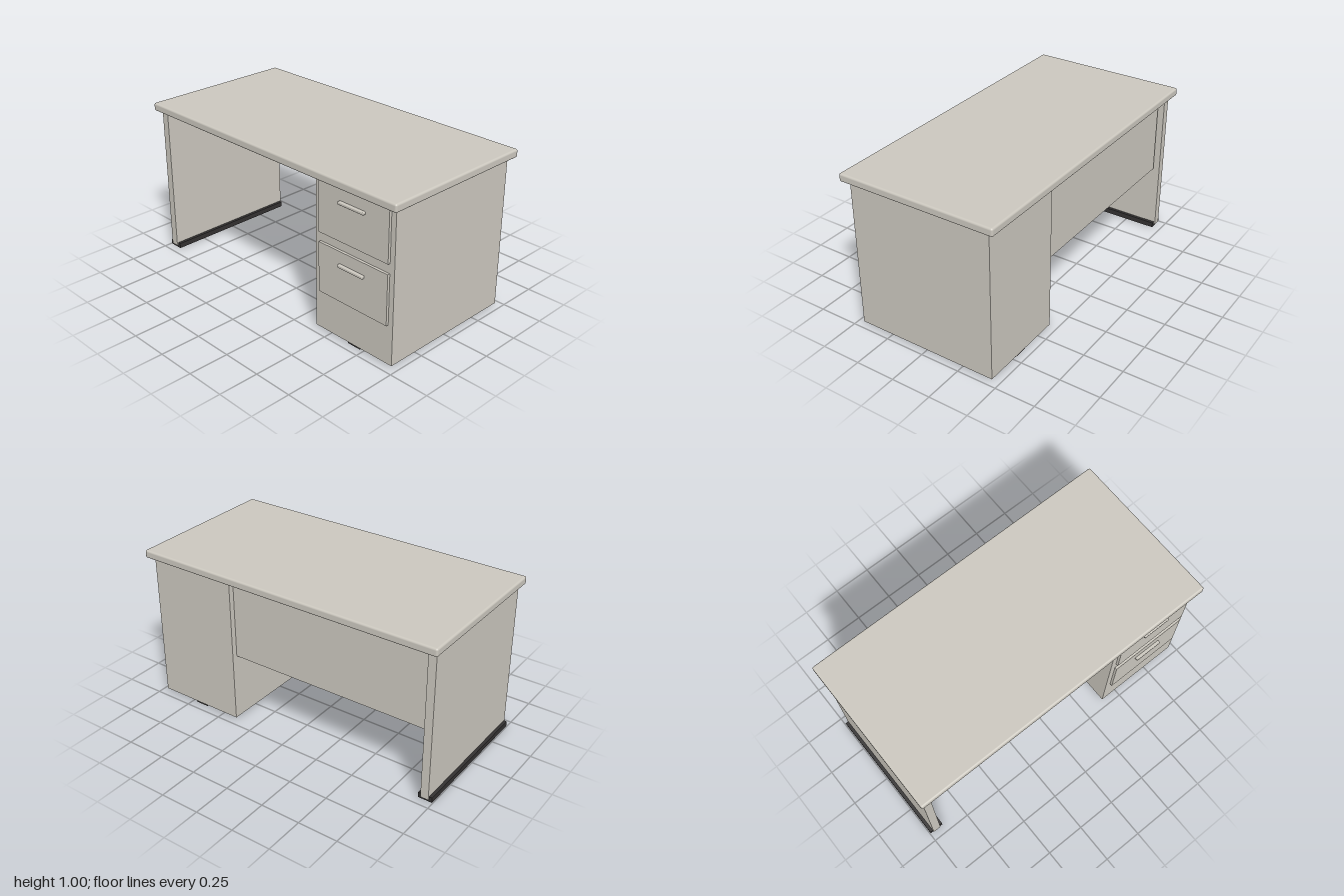
import * as THREE from 'three';
import { RoundedBoxGeometry } from 'three/addons/geometries/RoundedBoxGeometry.js';

export function createModel() {
  const desk = new THREE.Group();
  desk.name = 'desk';

  const laminate = new THREE.MeshStandardMaterial({ color: 0xcbc7be });
  laminate.name = 'warmGreyLaminate';
  const plinth = new THREE.MeshStandardMaterial({ color: 0x333131 });
  plinth.name = 'darkFeet';

  // Adds a box given as [min, max] ranges on each axis, optionally with rounded edges
  function addBox(name, material, x, y, z, radius = 0) {
    const size = [x, y, z].map(([min, max]) => max - min);
    const geometry = radius
      ? new RoundedBoxGeometry(...size, 3, radius)
      : new THREE.BoxGeometry(...size);
    const mesh = new THREE.Mesh(geometry, material);
    mesh.name = name;
    mesh.position.set(...[x, y, z].map(([min, max]) => (min + max) / 2));
    desk.add(mesh);
  }

  // Worktop with softened edges
  addBox('worktop', laminate, [-1, 1], [0.95, 1], [-0.5, 0.5], 0.012);

  // Slab leg standing in a dark foot rail
  addBox('sideLeg', laminate, [-0.975, -0.925], [0.015, 0.95], [-0.455, 0.455]);
  addBox('legFoot', plinth, [-0.995, -0.905], [0, 0.033], [-0.447, 0.447]);

  // Modesty panel, set in from the back and hung clear of the worktop
  addBox('modestyPanel', laminate, [-0.91, 0.395], [0.44, 0.925], [-0.42, -0.4]);

  // Drawer pedestal on a central runner
  addBox('pedestal', laminate, [0.39, 0.965], [0.015, 0.95], [-0.455, 0.455]);
  addBox('pedestalFoot', plinth, [0.635, 0.725], [0, 0.015], [-0.447, 0.447]);

  // Drawer fronts, each with a rounded bar handle
  [['upper', 0.63, 0.945, 0.863], ['lower', 0.26, 0.57, 0.488]].forEach(([level, bottom, top, handleY]) => {
    addBox(level + 'DrawerFront', laminate, [0.427, 0.933], [bottom, top], [0.455, 0.471]);
    addBox(level + 'DrawerHandle', laminate, [0.585, 0.77], [handleY - 0.009, handleY + 0.009], [0.468, 0.49], 0.005);
  });

  return desk;
}
